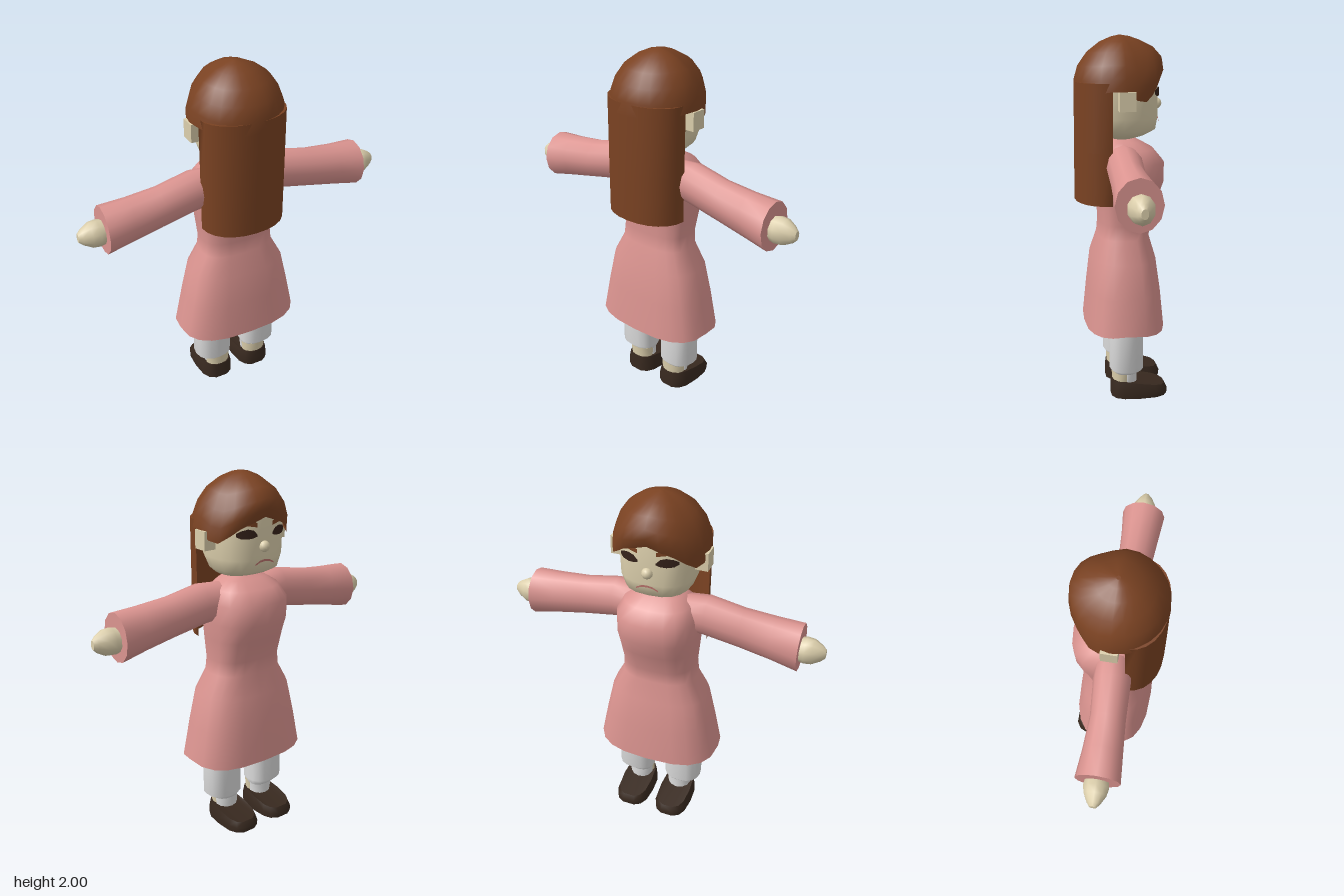
import * as THREE from 'three';

const mat = (name, color, side = THREE.FrontSide) => {
  const m = new THREE.MeshStandardMaterial({ color, side });
  m.name = name;
  return m;
};

// Surface through horizontal rings [y, centreX, centreZ, halfWidth, depthToFront(-z), depthToBack(+z)]
function loft(rows, { n = 16, pow = 2, bottom = true, top = true, rule = null } = {}) {
  const pos = [], idx = [];
  const se = (v) => (Math.abs(v) < 1e-9 ? 0 : Math.sign(v) * Math.abs(v) ** (2 / pow));
  rows.forEach(([y, cx, cz, rx, front, back]) => {
    for (let j = 0; j < n; j++) {
      const a = (j / n) * Math.PI * 2, s = se(Math.sin(a));
      const p = [cx + rx * se(Math.cos(a)), y, cz + (s > 0 ? back : front) * s];
      pos.push(...(rule ? rule(p, j) : p));
    }
  });
  for (let i = 0; i < rows.length - 1; i++)
    for (let j = 0; j < n; j++) {
      const a = i * n + j, b = i * n + ((j + 1) % n);
      idx.push(a, a + n, b, b, a + n, b + n);
    }
  // End caps use their own corners so that the rim stays crisp
  const cap = (row, up) => {
    const base = pos.length / 3;
    pos.push(...pos.slice(row * n * 3, (row + 1) * n * 3));
    for (let j = 0; j < n / 2; j++) {
      const q = [j, j + 1, n - j - 1, (n - j) % n].map((k) => base + k);
      if (up) idx.push(q[0], q[2], q[1], q[0], q[3], q[2]);
      else idx.push(q[0], q[1], q[2], q[0], q[2], q[3]);
    }
  };
  if (bottom) cap(0, false);
  if (top) cap(rows.length - 1, true);
  const g = new THREE.BufferGeometry();
  g.setAttribute('position', new THREE.Float32BufferAttribute(pos, 3));
  g.setIndex(idx);
  g.computeVertexNormals();
  return g;
}

// Mirror across x = 0 with the winding turned round
function mirrored(geo) {
  const g = geo.clone().scale(-1, 1, 1);
  const ix = g.index.array;
  for (let i = 0; i < ix.length; i += 3) [ix[i], ix[i + 1]] = [ix[i + 1], ix[i]];
  g.computeVertexNormals();
  return g;
}

// Thin painted strip wrapped on the face, from points [x, low, high]
function faceStrip(points) {
  const pos = [], idx = [];
  points.forEach(([x, lo, hi]) => {
    const z = -0.206 * (1 - Math.abs(x / 0.21) ** 2.6) ** (1 / 2.6);
    pos.push(x, lo, z, x, hi, z);
  });
  for (let i = 0; i < points.length - 1; i++) {
    const a = i * 2;
    idx.push(a, a + 1, a + 2, a + 2, a + 1, a + 3);
  }
  const g = new THREE.BufferGeometry();
  g.setAttribute('position', new THREE.Float32BufferAttribute(pos, 3));
  g.setIndex(idx);
  g.computeVertexNormals();
  return g;
}

export function createModel() {
  const group = new THREE.Group();
  const D = THREE.DoubleSide;
  const hair = mat('hair brown', 0x7a4222, D), pink = mat('dress pink', 0xdb9490, D);
  const skin = mat('skin', 0xdccfac), white = mat('trouser white', 0xdedede);
  const shoe = mat('shoe brown', 0x38291f), dark = mat('eye dark', 0x35221a, D);
  const lip = mat('lip', 0xb9736c, D);
  const add = (name, geo, m) => {
    const mesh = new THREE.Mesh(geo, m);
    mesh.name = name;
    group.add(mesh);
  };
  const pair = (name, geo, m) => {
    add(name + 'Left', geo, m);
    add(name + 'Right', mirrored(geo), m);
  };

  // Dress with flared skirt, open at the hem
  add('dress', loft([
    [0.43, 0, 0, 0.355, 0.235, 0.205],
    [0.62, 0, 0, 0.315, 0.215, 0.185],
    [0.8, 0, 0, 0.275, 0.19, 0.165],
    [0.92, 0, 0, 0.212, 0.155, 0.127],
    [1.0, 0, 0, 0.205, 0.162, 0.12],
    [1.12, 0, 0, 0.215, 0.2, 0.13],
    [1.22, 0, 0, 0.225, 0.236, 0.13],
    [1.33, 0, 0, 0.225, 0.238, 0.12],
    [1.4, 0, 0, 0.19, 0.18, 0.1],
    [1.44, 0, 0, 0.13, 0.105, 0.08],
    [1.46, 0, 0, 0.08, 0.07, 0.06],
  ], {
    n: 20, pow: 2.7, bottom: false,
    rule: ([x, y, z]) => [x, y < 0.44 ? y - 0.02 * Math.min(1, Math.abs(z) / 0.2) : y, z],
  }), pink);

  // Sleeves and hands: lofted upright, then laid along x
  const along = (rows, opt) => loft(rows, opt).rotateZ(-Math.PI / 2);
  pair('sleeve', along([
    [0.12, -1.33, 0.0, 0.1, 0.09, 0.09],
    [0.26, -1.328, 0.005, 0.112, 0.095, 0.1],
    [0.45, -1.29, 0.01, 0.112, 0.085, 0.1],
    [0.62, -1.265, 0.015, 0.12, 0.1, 0.108],
    [0.765, -1.245, 0.015, 0.132, 0.115, 0.12],
  ], { n: 12 }), pink);
  pair('hand', along([
    [0.74, -1.235, 0.015, 0.06, 0.06, 0.06],
    [0.79, -1.235, 0.015, 0.072, 0.068, 0.068],
    [0.83, -1.235, 0.015, 0.07, 0.06, 0.06],
    [0.875, -1.235, 0.015, 0.045, 0.035, 0.035],
    [0.895, -1.235, 0.015, 0.025, 0.018, 0.018],
  ], { n: 10 }), skin);

  // Trouser legs, ankles and shoes
  pair('trouserLeg', loft([
    [0.14, 0.13, -0.015, 0.075, 0.065, 0.065],
    [0.175, 0.148, -0.015, 0.107, 0.095, 0.095],
    [0.45, 0.147, -0.015, 0.107, 0.095, 0.095],
    [0.7, 0.14, -0.015, 0.1, 0.09, 0.09],
  ], { n: 16, pow: 2.4 }), white);
  pair('ankle', loft([
    [0.07, 0.125, 0.005, 0.07, 0.05, 0.055],
    [0.16, 0.125, 0.005, 0.075, 0.05, 0.06],
  ], { n: 12 }), skin);
  pair('sock', loft([
    [0.07, 0.125, -0.02, 0.068, 0.06, 0.02],
    [0.16, 0.125, -0.02, 0.072, 0.06, 0.02],
  ], { n: 12 }), white);
  pair('shoe', loft([
    [0, 0.125, -0.09, 0.1, 0.16, 0.16],
    [0.05, 0.125, -0.09, 0.102, 0.163, 0.16],
    [0.098, 0.125, -0.09, 0.09, 0.145, 0.155],
  ], {
    n: 14, pow: 2.9,
    rule: ([x, y, z]) => [x, y * (1 - 0.42 * Math.max(0, (-z - 0.02) / 0.23)), z],
  }), shoe);

  // Head, neck, ears and nose
  add('head', loft([
    [1.455, 0, 0, 0.09, 0.06, 0.05],
    [1.475, 0, 0, 0.145, 0.13, 0.09],
    [1.505, 0, 0, 0.175, 0.19, 0.13],
    [1.57, 0, 0, 0.2, 0.2, 0.16],
    [1.8, 0, 0, 0.21, 0.2, 0.17],
    [1.88, 0, 0, 0.17, 0.16, 0.15],
  ], { n: 20, pow: 2.6 }), skin);
  add('neck', new THREE.CylinderGeometry(0.07, 0.075, 0.12, 12).translate(0, 1.45, 0.01), skin);
  pair('ear', new THREE.BoxGeometry(0.075, 0.1, 0.085).translate(0.228, 1.67, -0.005), skin);
  add('nose', new THREE.SphereGeometry(0.03, 12, 8).translate(0, 1.638, -0.2), skin);

  // Painted face
  pair('eye', mirrored(faceStrip([
    [-0.155, 1.7, 1.715], [-0.135, 1.688, 1.728], [-0.1, 1.685, 1.736],
    [-0.07, 1.688, 1.728], [-0.048, 1.695, 1.705],
  ])), dark);
  pair('eyebrow', mirrored(faceStrip([
    [-0.15, 1.752, 1.768], [-0.1, 1.752, 1.778], [-0.05, 1.742, 1.765],
  ])), hair);
  add('mouth', faceStrip([
    [-0.06, 1.542, 1.55], [-0.03, 1.557, 1.567], [0, 1.56, 1.572],
    [0.03, 1.557, 1.567], [0.06, 1.542, 1.55],
  ].reverse()), lip);

  // Hair cap: the hairline height is given every 15 degrees from front to back
  const hairline = [1.79, 1.765, 1.74, 1.7, 1.665, 1.675, 1.72, 1.72, 1.71, 1.7, 1.7, 1.7, 1.7];
  add('hairCap', loft([
    [1.66, 0, 0, 0.258, 0.208, 0.25],
    [1.74, 0, 0, 0.25, 0.232, 0.248],
    [1.82, 0, 0, 0.224, 0.225, 0.228],
    [1.9, 0, 0, 0.178, 0.18, 0.178],
    [1.96, 0, 0, 0.11, 0.105, 0.11],
    [1.99, 0, 0, 0.05, 0.05, 0.05],
    [2.0, 0, 0, 0.01, 0.01, 0.01],
  ], {
    n: 24, pow: 2.1, bottom: false,
    rule: ([x, y, z], j) => {
      const k = Math.abs(j - 18), h = hairline[Math.min(k, 24 - k)];
      return [x, h + ((y - 1.66) / 0.34) * (2 - h), z];
    },
  }), hair);

  // Long crescent of hair down the back
  add('longHair', loft([
    [1.12, 0, 0.07, 0.235, -0.13, 0.18],
    [1.4, 0, 0.07, 0.237, -0.13, 0.18],
    [1.76, 0, 0.07, 0.24, -0.13, 0.177],
  ], { n: 24, pow: 2.2 }), hair);

  return group;
}
